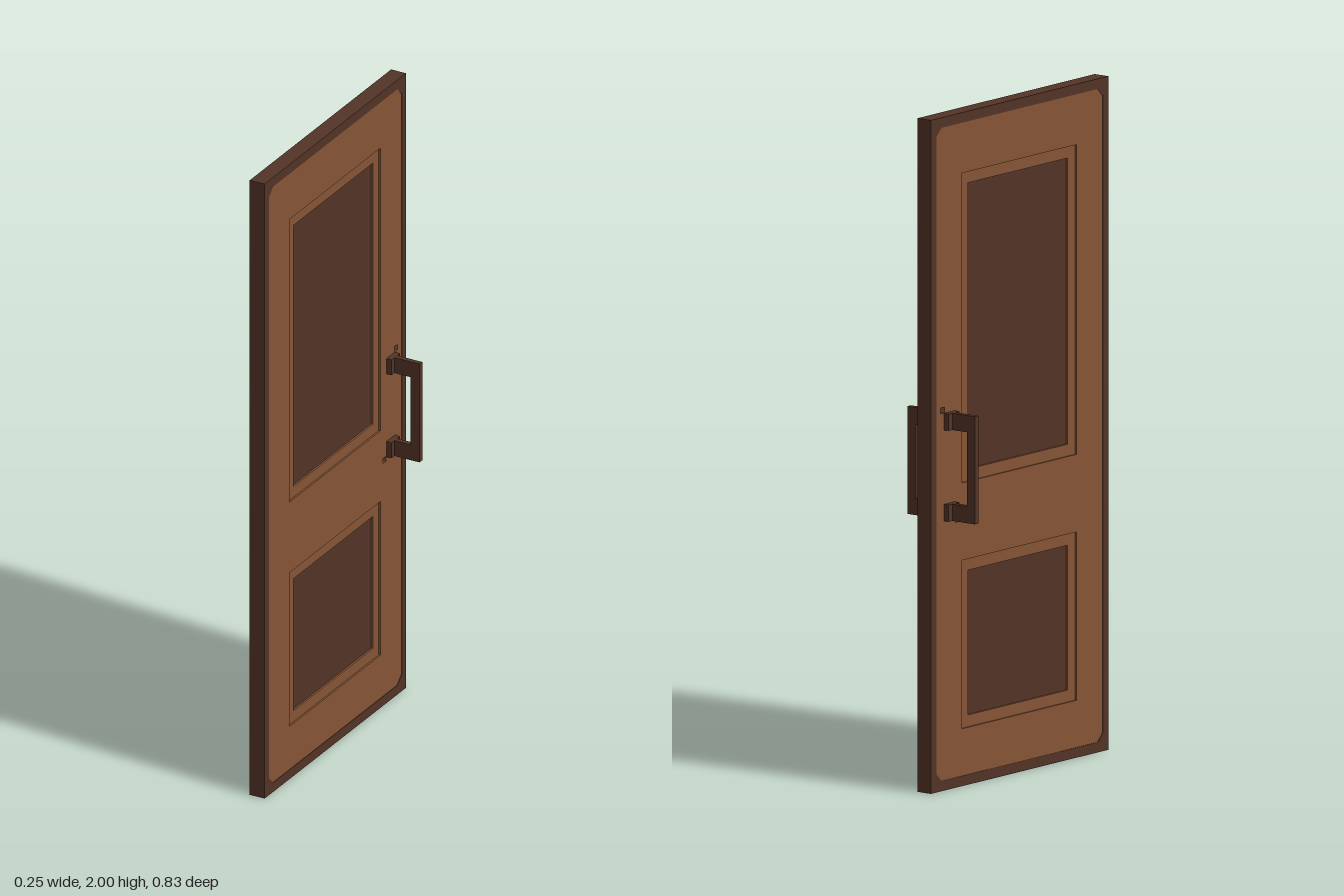
import * as THREE from 'three';

export function createModel() {
  const door = new THREE.Group();
  door.name = 'door';
  const lightWood = new THREE.MeshStandardMaterial({ color: 0x855535 });
  lightWood.name = 'light wood';
  const darkWood = new THREE.MeshStandardMaterial({ color: 0x523426 });
  darkWood.name = 'dark wood';

  // Rectangle with optional cut corners; u runs across the door (u = -z)
  const rect = (u0, u1, y0, y1, c = 0) => {
    const p = c
      ? [[u0 + c, y0], [u1 - c, y0], [u1, y0 + c], [u1, y1 - c],
         [u1 - c, y1], [u0 + c, y1], [u0, y1 - c], [u0, y0 + c]]
      : [[u0, y0], [u1, y0], [u1, y1], [u0, y1]];
    return p.map(([u, y]) => new THREE.Vector2(u, y));
  };

  // Slab of the given half thickness, centred on x = 0
  const slab = (name, outline, holes, half, material) => {
    const shape = new THREE.Shape(outline);
    holes.forEach((h) => shape.holes.push(new THREE.Path(h)));
    const geo = new THREE.ExtrudeGeometry(shape, { depth: half * 2, bevelEnabled: false });
    geo.translate(0, 0, -half).rotateY(Math.PI / 2);
    const mesh = new THREE.Mesh(geo, material);
    mesh.name = name;
    door.add(mesh);
  };

  const box = (name, parent, w, h, d, x, y, z) => {
    const mesh = new THREE.Mesh(new THREE.BoxGeometry(w, h, d), darkWood);
    mesh.name = name;
    mesh.position.set(x, y, z);
    parent.add(mesh);
  };

  const panels = [
    { name: 'upperPanel', y0: 0.90, y1: 1.82 },
    { name: 'lowerPanel', y0: 0.17, y1: 0.67 },
  ];
  const outer = ({ y0, y1 }) => rect(-0.267, 0.267, y0, y1);
  const inner = ({ y0, y1 }) => rect(-0.233, 0.233, y0 + 0.035, y1 - 0.035);

  // Dark edge around the light field
  const field = rect(-0.39, 0.39, 0.03, 1.97, 0.025);
  slab('edgeFrame', rect(-0.415, 0.415, 0, 2), [field], 0.025, darkWood);

  // Light field with panel openings and two small through holes by the handle
  const boltHoles = [rect(0.35, 0.368, 1.12, 1.138), rect(0.282, 0.299, 0.787, 0.803)];
  slab('field', field, [...panels.map(outer), ...boltHoles], 0.0235, lightWood);

  // Stepped moulding and sunken panels
  for (const p of panels) {
    slab(p.name + 'Moulding', outer(p), [inner(p)], 0.018, lightWood);
    slab(p.name, inner(p), [], 0.012, darkWood);
  }

  // Pull handle on each face
  const z = -0.327;
  for (const side of [1, -1]) {
    const handle = new THREE.Group();
    handle.name = side > 0 ? 'leftHandle' : 'rightHandle';
    box('grip', handle, 0.03, 0.32, 0.016, side * 0.11, 0.96, z);
    for (const y of [0.825, 1.095]) {
      box('arm', handle, 0.075, 0.05, 0.016, side * 0.0585, y, z);
      box('mount', handle, 0.02, 0.05, 0.05, side * 0.031, y, z);
    }
    door.add(handle);
  }
  return door;
}
